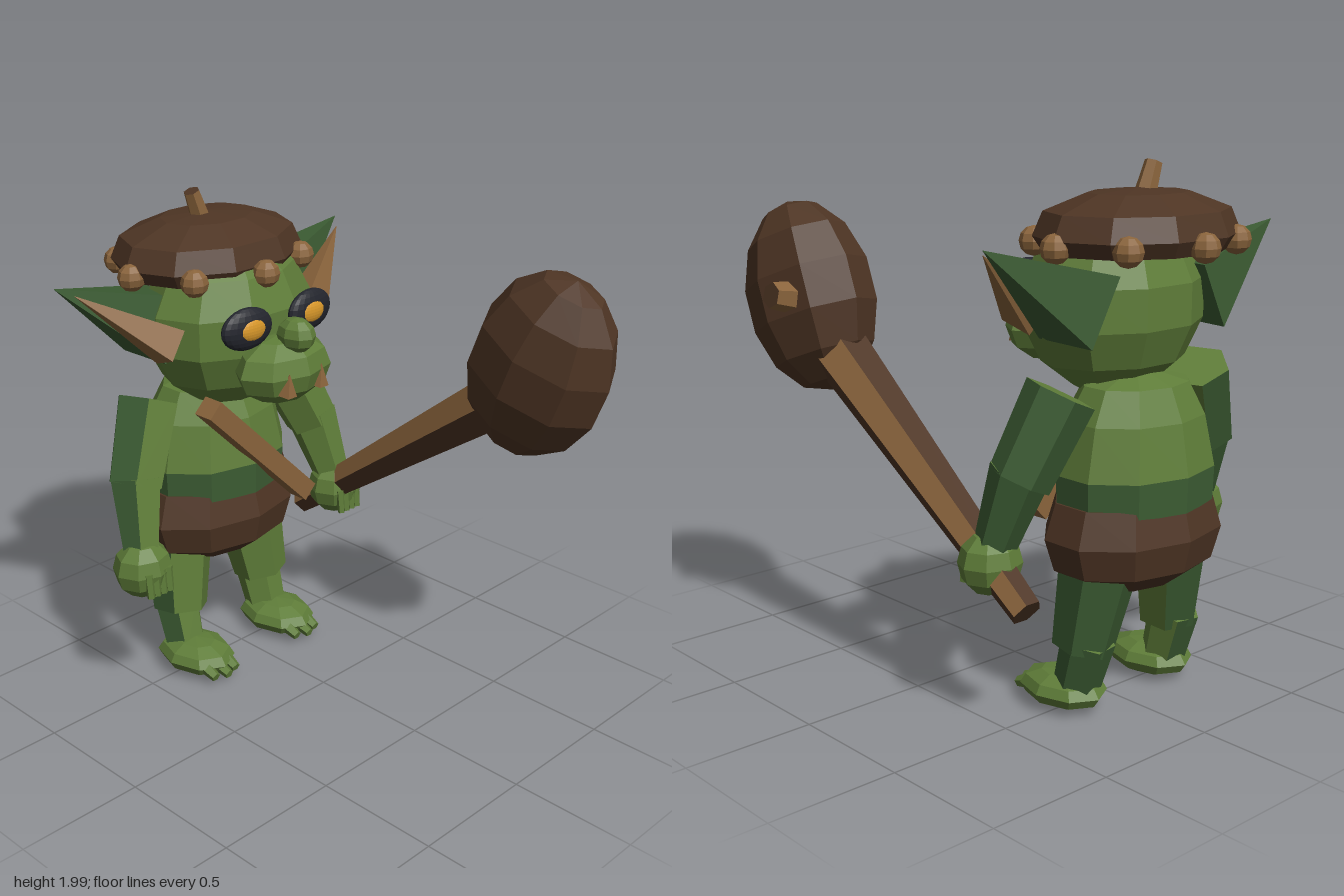
import * as THREE from 'three';

const mat = (name, color) => Object.assign(new THREE.MeshStandardMaterial({ color, flatShading: true }), { name });
const skin = mat('skin green', 0x5f7d39);
const darkSkin = mat('dark green', 0x3c5c33);
const leather = mat('dark brown', 0x4e3524);
const wood = mat('light brown', 0x8a643c);
const black = mat('eye rim black', 0x23252d);
const amber = mat('eye amber', 0xd9982a);
const V = (x, y, z) => new THREE.Vector3(x, y, z);

export function createModel() {
  const root = new THREE.Group();
  root.name = 'creature';
  const body = new THREE.Group();
  body.name = 'body';
  body.position.x = -0.04;
  root.add(body);

  function add(name, geo, material, parent = body) {
    const m = new THREE.Mesh(geo, material);
    m.name = name;
    parent.add(m);
    return m;
  }
  // Faceted ellipsoid
  function blob(name, material, c, r, ws = 8, hs = 6, parent = body) {
    const m = add(name, new THREE.SphereGeometry(1, ws, hs), material, parent);
    m.position.set(...c);
    m.scale.set(...r);
    return m;
  }
  // Tapered prism between two points
  function prism(a, b, ra, rb, sides = 6, flat = 1) {
    const d = b.clone().sub(a);
    const g = new THREE.CylinderGeometry(rb, ra, d.length(), sides);
    g.rotateY(Math.PI / sides);
    g.scale(1, 1, flat);
    g.applyQuaternion(new THREE.Quaternion().setFromUnitVectors(V(0, 1, 0), d.normalize()));
    const mid = a.clone().add(b).multiplyScalar(0.5);
    return g.translate(mid.x, mid.y, mid.z);
  }
  // Split facets into two materials by their normal
  function facets(geo, rule) {
    const g = geo.toNonIndexed();
    g.computeVertexNormals();
    g.clearGroups();
    const n = g.attributes.normal;
    for (let i = 0; i < n.count; i += 3) g.addGroup(i, 3, rule(n.getX(i), n.getY(i), n.getZ(i)) ? 1 : 0);
    return g;
  }
  function lathe(name, material, pts, sides, depth, z, turn = 0) {
    const g = new THREE.LatheGeometry(pts.map(p => new THREE.Vector2(...p)), sides);
    g.rotateY(turn);
    g.scale(1, 1, depth);
    g.translate(0, 0, z);
    return add(name, g, material);
  }

  // Torso and loincloth
  lathe('torso', skin, [[0.335, 0.91], [0.29, 1.1], [0.22, 1.22], [0, 1.28]], 10, 0.77, -0.6);
  lathe('waist', darkSkin, [[0.33, 0.78], [0.335, 0.91]], 10, 0.77, -0.6);
  lathe('loincloth', leather,
    [[0, 0.45], [0.21, 0.485], [0.345, 0.56], [0.385, 0.68], [0.34, 0.81], [0, 0.81]], 10, 0.72, -0.6);
  const sash = add('sash', new THREE.BoxGeometry(0.08, 0.72, 0.09), wood);
  sash.position.set(-0.005, 0.975, -0.325);
  sash.rotation.z = Math.PI / 4;

  // Head and face
  blob('head', skin, [0, 1.5, -0.485], [0.375, 0.34, 0.29], 10, 7);
  blob('muzzle', skin, [0, 1.37, -0.18], [0.22, 0.135, 0.15], 8, 6);
  blob('nose', skin, [0, 1.515, -0.105], [0.065, 0.068, 0.085], 8, 6);

  // Cap with beads and stem
  lathe('cap', leather,
    [[0, 1.68], [0.37, 1.69], [0.41, 1.745], [0.37, 1.83], [0.2, 1.89], [0, 1.905]], 10, 0.78, -0.595, Math.PI / 10 * 5);
  add('capStem', facets(prism(V(-0.02, 1.86, -0.6), V(-0.068, 1.99, -0.6), 0.042, 0.032, 6),
    (x, y) => y > 0.8), [wood, leather]);
  for (let i = 0; i < 8; i++) {
    const a = i * Math.PI / 4;
    blob('capBead', wood, [0.39 * Math.sin(a), 1.72, -0.585 + 0.32 * Math.cos(a)], [0.056, 0.054, 0.052], 8, 6);
  }

  for (const s of [-1, 1]) {
    const side = s > 0 ? 'left' : 'right';
    const P = (x, y, z) => V(s * x, y, z);

    // Eyes and tusks
    blob(side + 'EyeRim', black, [s * 0.165, 1.555, -0.2], [0.118, 0.082, 0.038], 20, 12).rotation.y = s * 0.08;
    blob(side + 'Eye', amber, [s * 0.153, 1.555, -0.178], [0.067, 0.046, 0.022], 20, 12);
    add(side + 'Tusk', prism(P(0.085, 1.305, -0.07), P(0.085, 1.39, -0.055), 0.038, 0.001, 5), wood);

    // Ears
    add(side + 'Ear', prism(P(0.28, 1.51, -0.59), P(0.728, 1.745, -0.605), 0.19, 0.001, 4, 0.95), darkSkin);
    add(side + 'InnerEar', prism(P(0.36, 1.48, -0.41), P(0.68, 1.72, -0.55), 0.09, 0.001, 4), wood);

    // Arms
    const limb = (name, a, b, ra, rb) =>
      add(side + name, facets(prism(a, b, ra, rb, 6), (x, y, z) => s * x > 0.45 || z < -0.75), [skin, darkSkin]);
    limb('UpperArm', P(0.35, 1.22, -0.575), P(0.485, 0.92, -0.51), 0.13, 0.115);
    limb('Forearm', P(0.48, 0.95, -0.51), P(0.535, 0.66, -0.43), 0.11, 0.075);
    blob(side + 'Hand', skin, [s * 0.54, 0.615, -0.42], [0.122, 0.118, 0.112], 8, 6);
    for (let i = 0; i < 4; i++) {
      const x = 0.485 + i * 0.032;
      add(side + 'Finger', prism(P(x, 0.63, -0.335), P(x, 0.53, -0.325), 0.019, 0.016, 5), skin);
    }

    // Legs and feet
    limb('Thigh', P(0.19, 0.6, -0.62), P(0.23, 0.26, -0.575), 0.15, 0.115);
    limb('Shin', P(0.23, 0.3, -0.605), P(0.235, 0.07, -0.54), 0.1, 0.085);
    blob(side + 'Foot', skin, [s * 0.235, 0.08, -0.48], [0.138, 0.07, 0.185], 8, 6);
    for (let i = -1; i <= 1; i++) {
      const x = 0.235 + i * 0.055;
      add(side + 'Toe', prism(P(x, 0.075, -0.36), P(x, 0.052, -0.275 - 0.02 * Math.abs(i)), 0.03, 0.02, 5), skin);
    }
  }

  // Club: handle, head and branch stub
  const club = new THREE.Group();
  club.name = 'club';
  root.add(club);
  add('clubHandle', facets(prism(V(0.5, 0.48, -0.61), V(0.5, 1.26, 0.46), 0.06, 0.118, 6),
    (x, y) => y > 0.2 && Math.abs(x) > 0.5), [leather, wood], club);
  blob('clubHead', leather, [0.5, 1.44, 0.635], [0.225, 0.38, 0.3], 8, 7, club).rotation.x = 0.37;
  add('clubStub', facets(prism(V(0.6, 1.45, 0.53), V(0.755, 1.48, 0.52), 0.07, 0.05, 6),
    x => x > 0.8), [wood, leather], club);

  return root;
}
